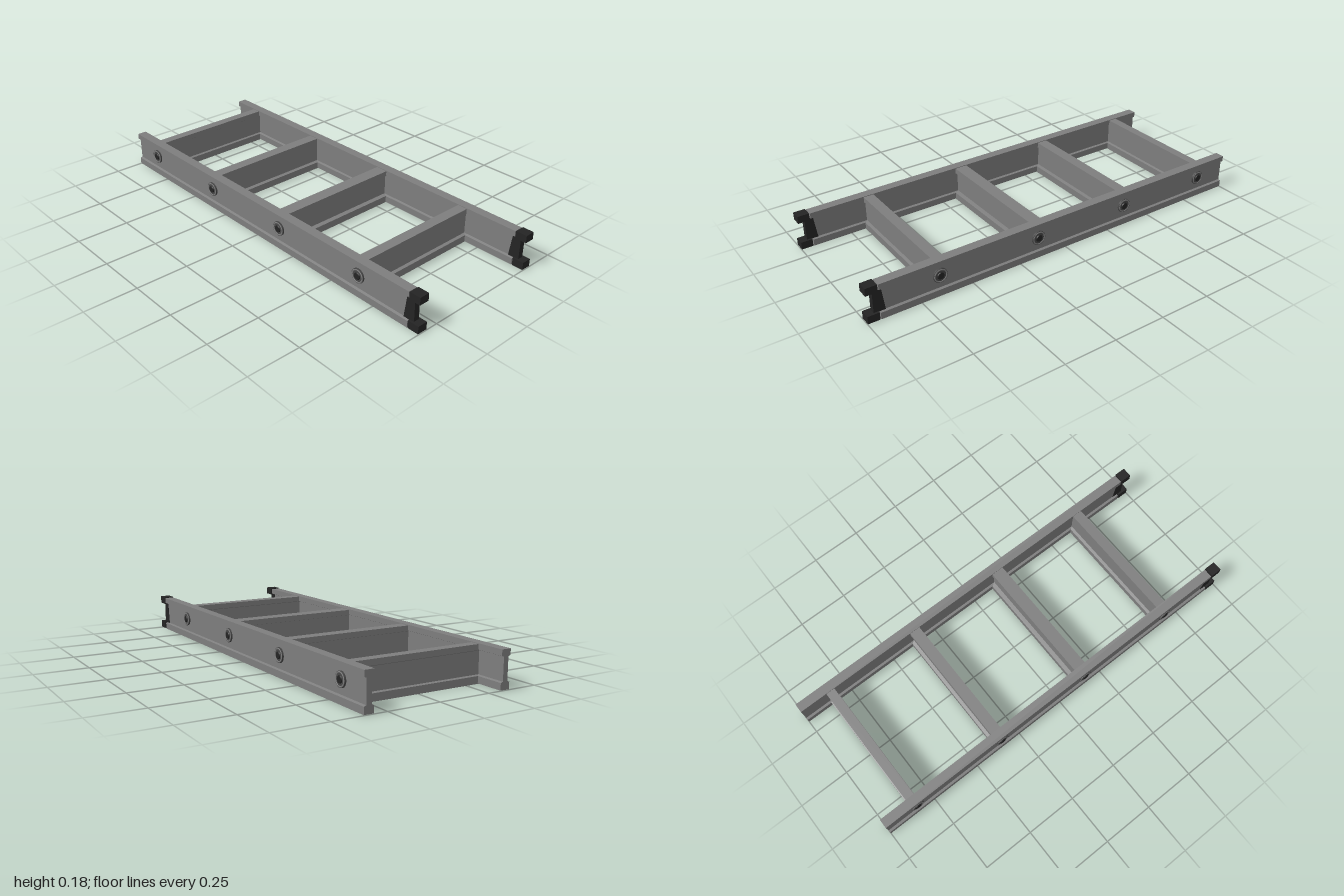
import * as THREE from 'three';

const metal = new THREE.MeshStandardMaterial({ name: 'brushedMetal', color: 0x7e7e7e });
const rubber = new THREE.MeshStandardMaterial({ name: 'blackRubber', color: 0x242424 });
const darkMetal = new THREE.MeshStandardMaterial({ name: 'darkMetal', color: 0x484848 });

// I-beam section centred on its width; bottom and top flanges joined by a web
function beamShape(bottomWidth, topWidth, web, y0, y1, y2, y3) {
  const b = bottomWidth / 2, t = topWidth / 2, w = web / 2, s = 0.004;
  const half = [[b, y0], [b, y1 - s], [w, y1], [w, y2], [t, y2 + s], [t, y3]];
  const mirrored = half.map(([x, y]) => [-x, y]).reverse();
  return new THREE.Shape([...half, ...mirrored].map(([x, y]) => new THREE.Vector2(x, y)));
}

function extrude(shape, length) {
  const geometry = new THREE.ExtrudeGeometry(shape, { depth: length, bevelEnabled: false });
  return geometry.translate(0, 0, -length / 2);
}

function add(parent, name, geometry, material, x, y, z) {
  const mesh = new THREE.Mesh(geometry, material);
  mesh.name = name;
  mesh.position.set(x, y, z);
  parent.add(mesh);
  return mesh;
}

export function createModel() {
  const ladder = new THREE.Group();
  ladder.name = 'ladder';

  const railGeometry = extrude(beamShape(0.046, 0.046, 0.024, 0.002, 0.038, 0.142, 0.173), 1.94).rotateY(Math.PI / 2);
  const capGeometry = new THREE.BoxGeometry(0.055, 0.036, 0.049);
  const washerGeometry = new THREE.CylinderGeometry(0.034, 0.034, 0.008, 20).rotateX(Math.PI / 2);
  const rimGeometry = new THREE.TorusGeometry(0.029, 0.005, 6, 20);
  const rivetGeometry = new THREE.CylinderGeometry(0.015, 0.018, 0.006, 16).rotateX(Math.PI / 2);

  // Slightly slanted sleeve wrapped around the web at the foot
  const sleeveShape = new THREE.Shape([
    new THREE.Vector2(0.912, 0.036), new THREE.Vector2(0.967, 0.036),
    new THREE.Vector2(0.967, 0.146), new THREE.Vector2(0.926, 0.146),
  ]);
  const sleeveGeometry = extrude(sleeveShape, 0.028);

  const rungs = [
    { x: -0.838, width: 0.052 },
    { x: -0.354, width: 0.062 },
    { x: 0.145, width: 0.07 },
    { x: 0.65, width: 0.058 },
  ];

  // Side rails, feet and rivets
  for (const side of [1, -1]) {
    const rail = new THREE.Group();
    rail.name = side > 0 ? 'frontRail' : 'backRail';
    const z = side * 0.335;
    add(rail, 'railBeam', railGeometry, metal, -0.03, 0, z);
    add(rail, 'footSleeve', sleeveGeometry, rubber, 0, 0, z);
    add(rail, 'lowerFootCap', capGeometry, rubber, 0.9725, 0.022, z);
    add(rail, 'upperFootCap', capGeometry, rubber, 0.9725, 0.158, z);
    for (const { x } of rungs) {
      add(rail, 'washer', washerGeometry, darkMetal, x + 0.006, 0.1, side * 0.351);
      add(rail, 'washerRim', rimGeometry, metal, x + 0.006, 0.1, side * 0.352);
      const rivet = add(rail, 'rivet', rivetGeometry, rubber, x + 0.006, 0.1, side * 0.356);
      if (side < 0) rivet.rotation.y = Math.PI;
    }
    ladder.add(rail);
  }

  // Rungs spanning between the webs of the rails
  for (const { x, width } of rungs) {
    const section = beamShape(width, width - 0.008, 0.03, 0, 0.038, 0.14, 0.17);
    add(ladder, 'rung', extrude(section, 0.65), metal, x, 0, 0);
  }

  return ladder;
}
